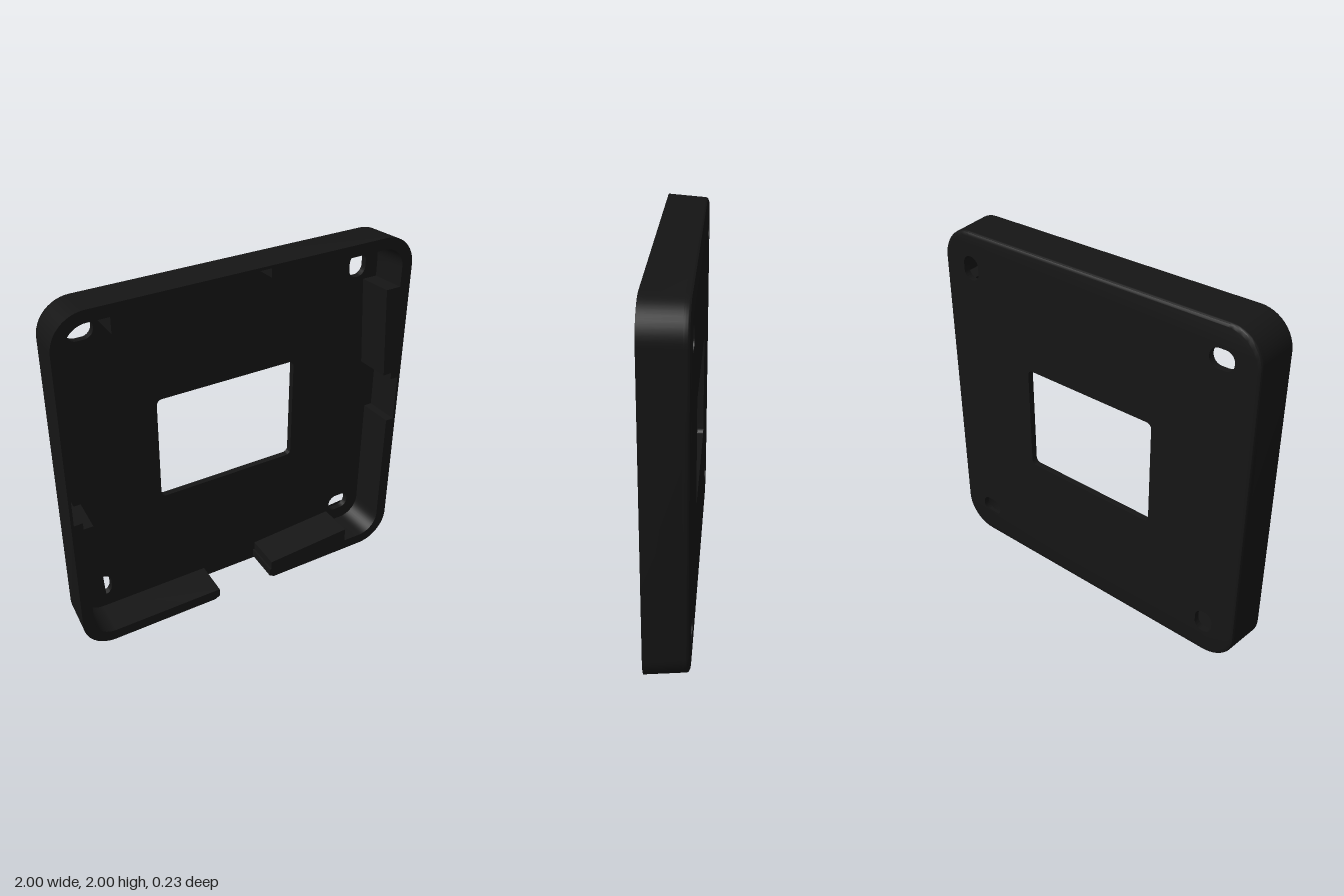
import * as THREE from 'three';
import { toCreasedNormals } from 'three/addons/utils/BufferGeometryUtils.js';

const BACK = -0.115, FRONT = 0.115, FLOOR = -0.08;
const RADIUS = 0.18, DRAFT = 0.015, GAP = 0.17;

// Quarter turns clockwise: side 0 is the top, 1 right, 2 bottom, 3 left
function turn([x, y], n) {
  for (let i = 0; i < n; i++) [x, y] = [y, -x];
  return new THREE.Vector2(x, y);
}

// Points of the corner that follows the top side
function corner(half, r) {
  const pts = [];
  for (let i = 0; i <= 12; i++) {
    const a = Math.PI / 2 * (1 - i / 12);
    pts.push([half - r + r * Math.cos(a), half - r + r * Math.sin(a)]);
  }
  return pts;
}

// Rounded slot or window
function roundedHole(cx, cy, w, h, r) {
  const p = new THREE.Path(), x = w / 2 - r, y = h / 2 - r;
  p.absarc(cx + x, cy + y, r, 0, Math.PI / 2);
  p.absarc(cx - x, cy + y, r, Math.PI / 2, Math.PI);
  p.absarc(cx - x, cy - y, r, Math.PI, Math.PI * 1.5);
  p.absarc(cx + x, cy - y, r, Math.PI * 1.5, Math.PI * 2);
  p.closePath();
  return p;
}

// Outer walls lean inward toward the back
const draftAt = z => 1 - DRAFT * (FRONT - z) / (FRONT - BACK);

function reshape(geo, rule) {
  const p = geo.attributes.position;
  for (let i = 0; i < p.count; i++) {
    const k = rule(p.getX(i), p.getY(i), p.getZ(i));
    p.setXY(i, p.getX(i) * k, p.getY(i) * k);
  }
  return toCreasedNormals(geo, 0.5);
}

// Wall ring with wedge ribs, thinned knockouts and an open gap at the bottom
function wallGeometry() {
  const rib = [[-0.705, 0.937], [-0.705, 0.85], [-0.18, 0.885], [-0.18, 0.937]];
  const knockout = [[-0.14, 0.937], [-0.14, 0.985], [0.135, 0.985], [0.135, 0.937]];
  const inner = [], outer = [];
  const add = (list, pts, n) => pts.forEach(p => list.push(turn(p, n)));

  add(outer, [[GAP, 0.985], [GAP + 0.03, 1], ...corner(1, RADIUS)], 2);
  add(inner, [[GAP, 0.937], ...corner(0.937, 0.12)], 2);
  for (const n of [3, 0, 1]) {
    add(outer, corner(1, RADIUS), n);
    add(inner, [...rib, ...knockout, ...corner(0.937, 0.12)], n);
  }
  add(outer, [[-GAP - 0.03, 1], [-GAP, 0.985]], 2);
  add(inner, [...rib, [-GAP, 0.937]], 2);

  const geo = new THREE.ExtrudeGeometry(new THREE.Shape([...outer, ...inner.reverse()]),
    { depth: FRONT - FLOOR, bevelEnabled: false });
  geo.translate(0, 0, FLOOR);
  return reshape(geo, (x, y, z) => draftAt(z));
}

// Back plate with window, four screw slots and a softened back edge
function plateGeometry() {
  const outline = [];
  for (let n = 0; n < 4; n++) corner(1, RADIUS).forEach(p => outline.push(turn(p, n)));
  const shape = new THREE.Shape(outline);
  shape.holes.push(
    roundedHole(-0.002, 0.003, 0.826, 0.613, 0.03),
    roundedHole(-0.785, 0.803, 0.135, 0.105, 0.05),
    roundedHole(0.795, 0.785, 0.105, 0.135, 0.05),
    roundedHole(0.78, -0.795, 0.135, 0.105, 0.05),
    roundedHole(-0.8, -0.78, 0.105, 0.135, 0.05));
  const geo = new THREE.ExtrudeGeometry(shape,
    { depth: FLOOR - BACK, steps: 6, curveSegments: 8, bevelEnabled: false });
  geo.translate(0, 0, BACK);
  return reshape(geo, (x, y, z) => {
    if (Math.max(Math.abs(x), Math.abs(y)) < 0.9) return 1;
    const u = Math.max(0, 1 - (z - BACK) / 0.018);
    return draftAt(z) - 0.015 * (1 - Math.sqrt(Math.max(0, 1 - u * u)));
  });
}

export function createModel() {
  const group = new THREE.Group();
  group.name = 'mountingTray';
  const material = new THREE.MeshStandardMaterial({ color: 0x151515 });
  const parts = { sideWalls: wallGeometry(), backPlate: plateGeometry() };
  for (const [name, geo] of Object.entries(parts)) {
    const mesh = new THREE.Mesh(geo, material);
    mesh.name = name;
    mesh.position.y = 1;
    group.add(mesh);
  }
  return group;
}
